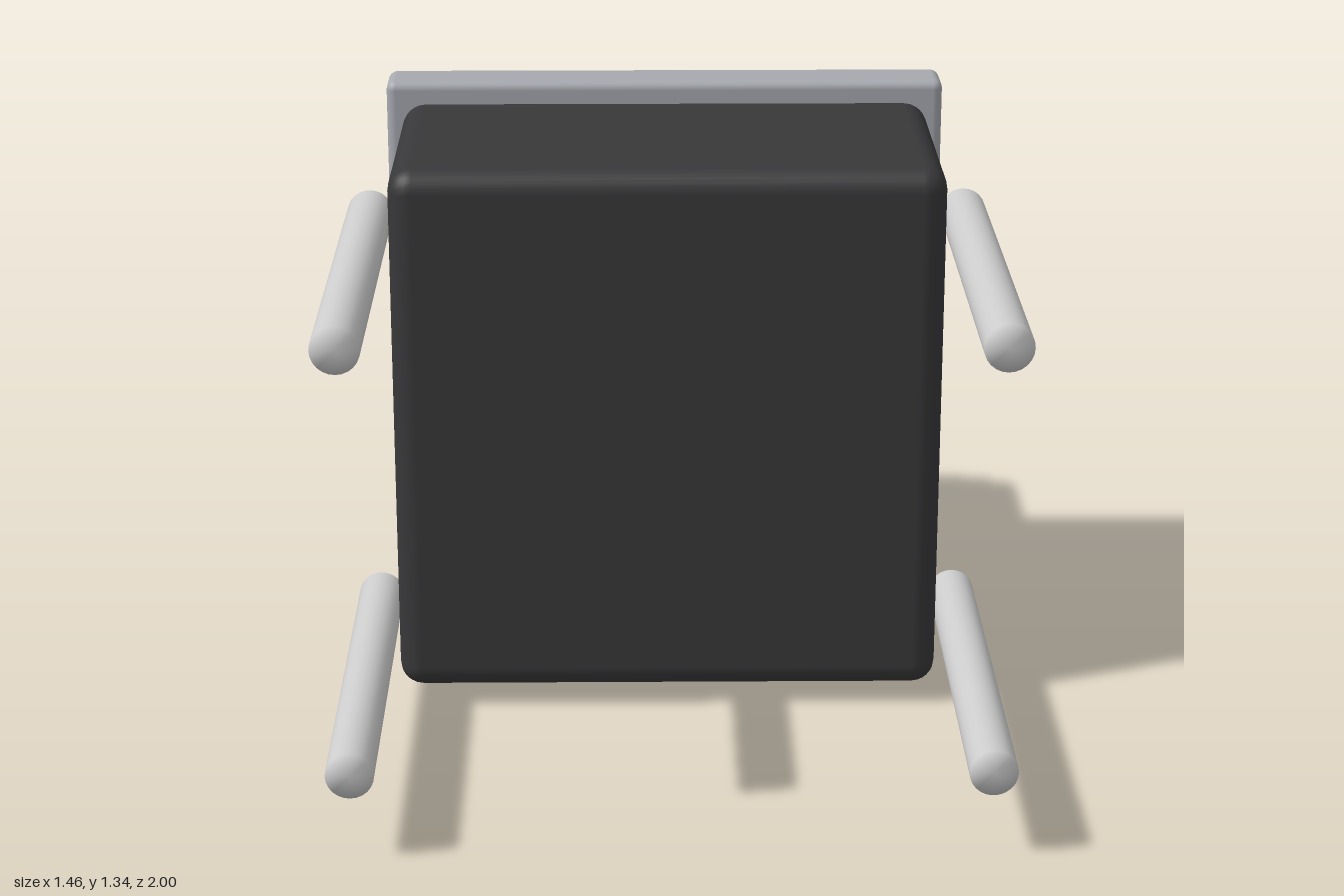
import * as THREE from 'three';
import { mergeVertices } from 'three/addons/utils/BufferGeometryUtils.js';
import { RoundedBoxGeometry } from 'three/addons/geometries/RoundedBoxGeometry.js';

const black = new THREE.MeshStandardMaterial({ color: 0x38383a });
const grey = new THREE.MeshStandardMaterial({ color: 0xa6a9af });
const metal = new THREE.MeshStandardMaterial({ color: 0xcccccc });

const MID_Y = 0.67;

// Cylinder along z between two depths, with normals blended over its rims
function rod(radius, z0, z1, sides) {
  let g = new THREE.CylinderGeometry(radius, radius, z1 - z0, sides);
  g.deleteAttribute('normal');
  g.deleteAttribute('uv');
  g = mergeVertices(g);
  g.computeVertexNormals();
  return g.rotateX(Math.PI / 2).translate(0, 0, (z0 + z1) / 2);
}

// Soft-edged square block between two depths
function block(size, z0, z1, radius) {
  return new RoundedBoxGeometry(size, size, z1 - z0, 3, radius).translate(0, 0, (z0 + z1) / 2);
}

export function createModel() {
  const model = new THREE.Group();
  model.name = 'pushButtonSwitch';

  function add(name, geometry, material, x = 0, y = MID_Y) {
    const mesh = new THREE.Mesh(geometry, material);
    mesh.name = name;
    mesh.position.set(x, y, 0);
    model.add(mesh);
  }

  // Housing and cover plate
  add('housing', block(1.255, -0.445, 0.22, 0.055), black);
  add('coverPlate', block(1.34, -0.58, -0.445, 0.022), grey);

  // Plunger with a slightly narrower raised face
  add('plunger', rod(0.355, -0.957, -0.5, 32), black);
  add('plungerFace', rod(0.312, -1, -0.9, 32), black);

  // Four connection pins beside the housing
  const pin = rod(0.052, 0, 1, 24);
  for (const [side, x] of [['left', 0.68], ['right', -0.68]]) {
    for (const [level, y] of [['Lower', 0.2], ['Upper', 1.145]]) {
      add(side + level + 'Pin', pin, metal, x, y);
    }
  }
  return model;
}
